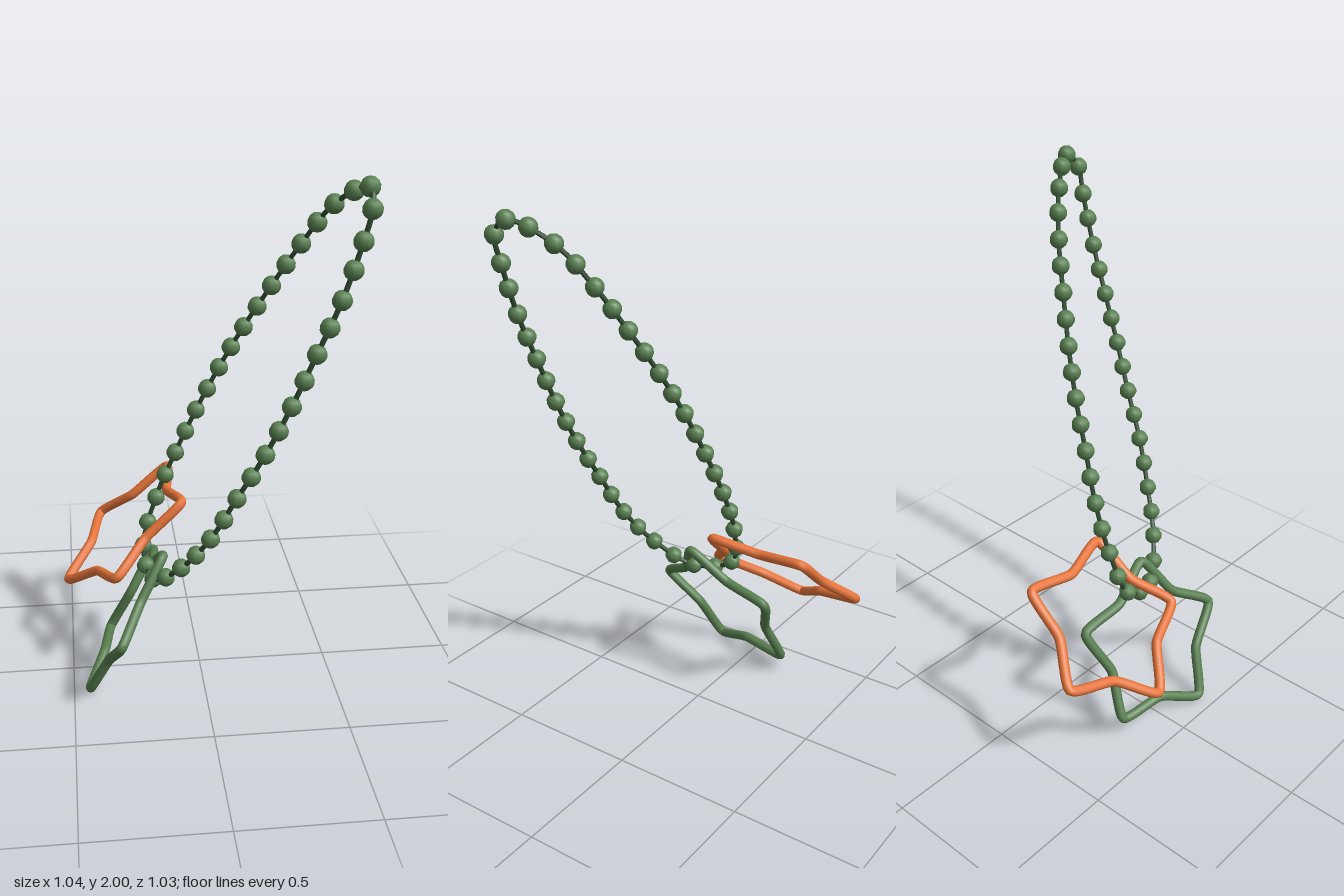
import * as THREE from 'three';

const green = new THREE.MeshStandardMaterial({ color: 0x587f50 });
const cordGreen = new THREE.MeshStandardMaterial({ color: 0x2f4a30 });
const orange = new THREE.MeshStandardMaterial({ color: 0xe8753a });

const vec = (p) => new THREE.Vector3(...p);

function mesh(name, geometry, material) {
  const m = new THREE.Mesh(geometry, material);
  m.name = name;
  return m;
}

// Five-pointed wire star: u points to the first tip, v lies a quarter turn on
function starRing(name, center, u, v, material) {
  const points = [];
  for (let i = 0; i < 10; i++) {
    const a = (i * Math.PI) / 5;
    const r = i % 2 ? 0.69 : 1;
    points.push(vec(center)
      .addScaledVector(vec(u), r * Math.cos(a))
      .addScaledVector(vec(v), r * Math.sin(a)));
  }
  // Low tension keeps the arms straight and the tips tight
  const curve = new THREE.CatmullRomCurve3(points, true, 'catmullrom', 0.28);
  return mesh(name, new THREE.TubeGeometry(curve, 160, 0.019, 10, true), material);
}

// Long hanging loop, one point for every second bead; the last point is the tight top bend
const loop = [
  [0.487, 1.968, 0.42], [0.405, 1.89, 0.29], [0.32, 1.74, 0.195], [0.235, 1.58, 0.125],
  [0.15, 1.415, 0.06], [0.07, 1.25, 0.01], [-0.01, 1.075, -0.025], [-0.085, 0.895, -0.055],
  [-0.16, 0.71, -0.06], [-0.215, 0.53, -0.015], [-0.19, 0.475, 0.15], [-0.097, 0.585, 0.28],
  [0, 0.735, 0.355], [0.085, 0.908, 0.40], [0.175, 1.08, 0.43], [0.255, 1.258, 0.453],
  [0.33, 1.44, 0.465], [0.402, 1.62, 0.475], [0.46, 1.81, 0.48], [0.483, 1.91, 0.48],
];

function beadChain() {
  const chain = new THREE.Group();
  chain.name = 'beadChain';
  const curve = new THREE.CatmullRomCurve3(loop.map(vec), true);
  chain.add(mesh('cord', new THREE.TubeGeometry(curve, 160, 0.009, 6, true), cordGreen));

  // Beads at each point and halfway between, except beside the top bend
  const bead = new THREE.SphereGeometry(0.034, 9, 7);
  const steps = loop.length * 2;
  for (let i = 0; i < steps; i++) {
    if (i === steps - 3 || i === steps - 1) continue;
    const b = mesh('bead', bead, green);
    b.position.copy(curve.getPoint(i / steps));
    chain.add(b);
  }
  return chain;
}

export function createModel() {
  const model = new THREE.Group();
  model.name = 'beadChainWithStars';
  model.add(
    beadChain(),
    starRing('orangeStar', [-0.27, 0.522, -0.196], [-0.092, -0.075, -0.3], [0.219, 0.198, -0.118], orange),
    starRing('greenStar', [-0.284, 0.28, 0.06], [-0.059, -0.198, -0.239], [0.143, 0.203, -0.195], green),
  );
  return model;
}
